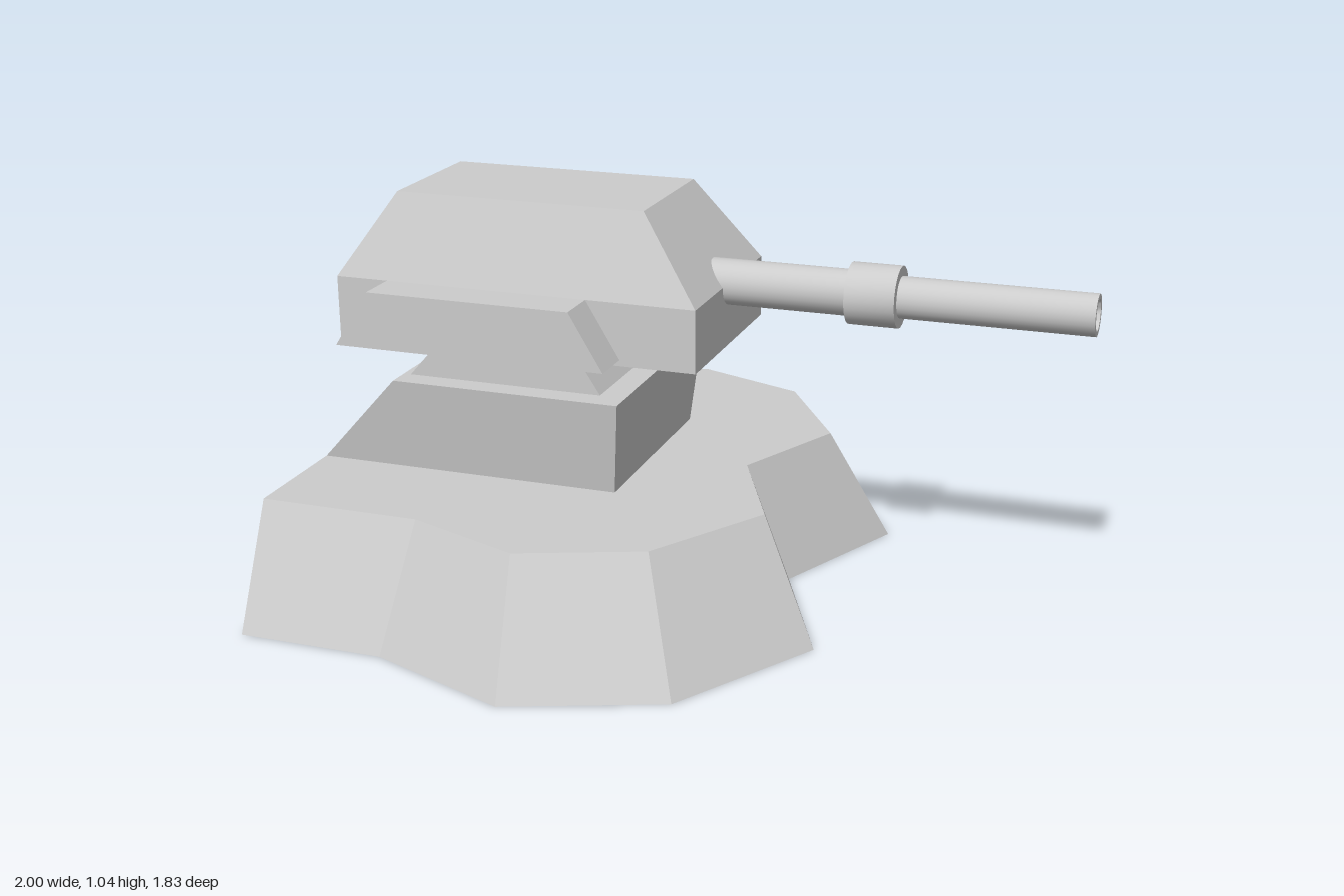
import * as THREE from 'three';
import { toCreasedNormals } from 'three/addons/utils/BufferGeometryUtils.js';

const material = new THREE.MeshStandardMaterial({ color: 0xcccccc, flatShading: true });
const smoothMaterial = new THREE.MeshStandardMaterial({ color: 0xcccccc });

// Rectangle outline in plan, counter-clockwise from above
const rect = (x0, x1, z0, z1) => [[x0, z1], [x1, z1], [x1, z0], [x0, z0]];

// Complete a half outline (z >= 0) by mirroring it across z = 0
const mirrorZ = (half) => [
  ...half,
  ...half.filter(([, z]) => z > 0).reverse().map(([x, z]) => [x, -z]),
];

// Closed solid through stacked [height, outline] layers
function loft(name, layers) {
  const n = layers[0][1].length;
  const positions = layers.flatMap(([y, outline]) => outline.flatMap(([x, z]) => [x, y, z]));
  const index = [];
  for (let l = 0; l < layers.length - 1; l++) {
    for (let i = 0; i < n; i++) {
      const a = l * n + i, b = l * n + (i + 1) % n;
      index.push(a, b, b + n, a, b + n, a + n);
    }
  }
  const cap = (l) => THREE.ShapeUtils.triangulateShape(
    layers[l][1].map(([x, z]) => new THREE.Vector2(x, -z)), []);
  const top = (layers.length - 1) * n;
  for (const [a, b, c] of cap(0)) index.push(a, c, b);
  for (const [a, b, c] of cap(layers.length - 1)) index.push(top + a, top + b, top + c);

  const indexed = new THREE.BufferGeometry();
  indexed.setAttribute('position', new THREE.Float32BufferAttribute(positions, 3));
  indexed.setIndex(index);
  const geometry = indexed.toNonIndexed();
  geometry.computeVertexNormals();
  const mesh = new THREE.Mesh(geometry, material);
  mesh.name = name;
  return mesh;
}

export function createModel() {
  const model = new THREE.Group();
  model.name = 'gunTurret';

  // Lobed foundation with sloping walls and a flat back
  model.add(loft('foundation', [
    [0, mirrorZ([[-1, 0.77], [-0.61, 0.77], [-0.23, 0.915], [0.16, 0.77], [0.4, 0.387], [0.22, 0]])],
    [0.315, mirrorZ([[-1, 0.62], [-0.57, 0.62], [-0.26, 0.737], [0.05, 0.62], [0.245, 0.31], [0.1, 0]])],
  ]));

  // Pedestal with a long rear ramp
  model.add(loft('pedestal', [
    [0.315, rect(-1, -0.165, -0.295, 0.295)],
    [0.567, rect(-0.765, -0.14, -0.335, 0.335)],
  ]));

  // Neck under the turret
  model.add(loft('neck', [
    [0.567, rect(-0.745, -0.21, -0.272, 0.272)],
    [0.652, rect(-0.67, -0.265, -0.272, 0.272)],
  ]));

  // Turret: upright lower walls, tapered roof
  model.add(loft('turretBody', [
    [0.652, rect(-0.945, 0.05, -0.273, 0.273)],
    [0.818, rect(-0.945, 0.05, -0.273, 0.273)],
    [1.038, rect(-0.8, -0.115, -0.19, 0.19)],
  ]));

  // Side pods with slanted ends
  for (const [name, z0, z1] of [['leftPod', -0.388, -0.27], ['rightPod', 0.27, 0.388]]) {
    model.add(loft(name, [
      [0.668, rect(-0.895, -0.155, z0, z1)],
      [0.818, rect(-0.8, -0.245, z0, z1)],
    ]));
  }

  // Gun barrel with collar and hollow muzzle
  const profile = [
    [0, -0.03], [0.06, -0.03], [0.06, 0.375], [0.08, 0.375], [0.08, 0.505],
    [0.054, 0.505], [0.054, 1], [0.04, 1], [0.04, 0.8], [0, 0.8],
  ].map(([r, h]) => new THREE.Vector2(r, h));
  const barrel = new THREE.Mesh(
    toCreasedNormals(new THREE.LatheGeometry(profile, 24), 0.6), smoothMaterial);
  barrel.name = 'gunBarrel';
  barrel.rotation.z = -Math.PI / 2;
  barrel.position.y = 0.82;
  model.add(barrel);

  return model;
}
